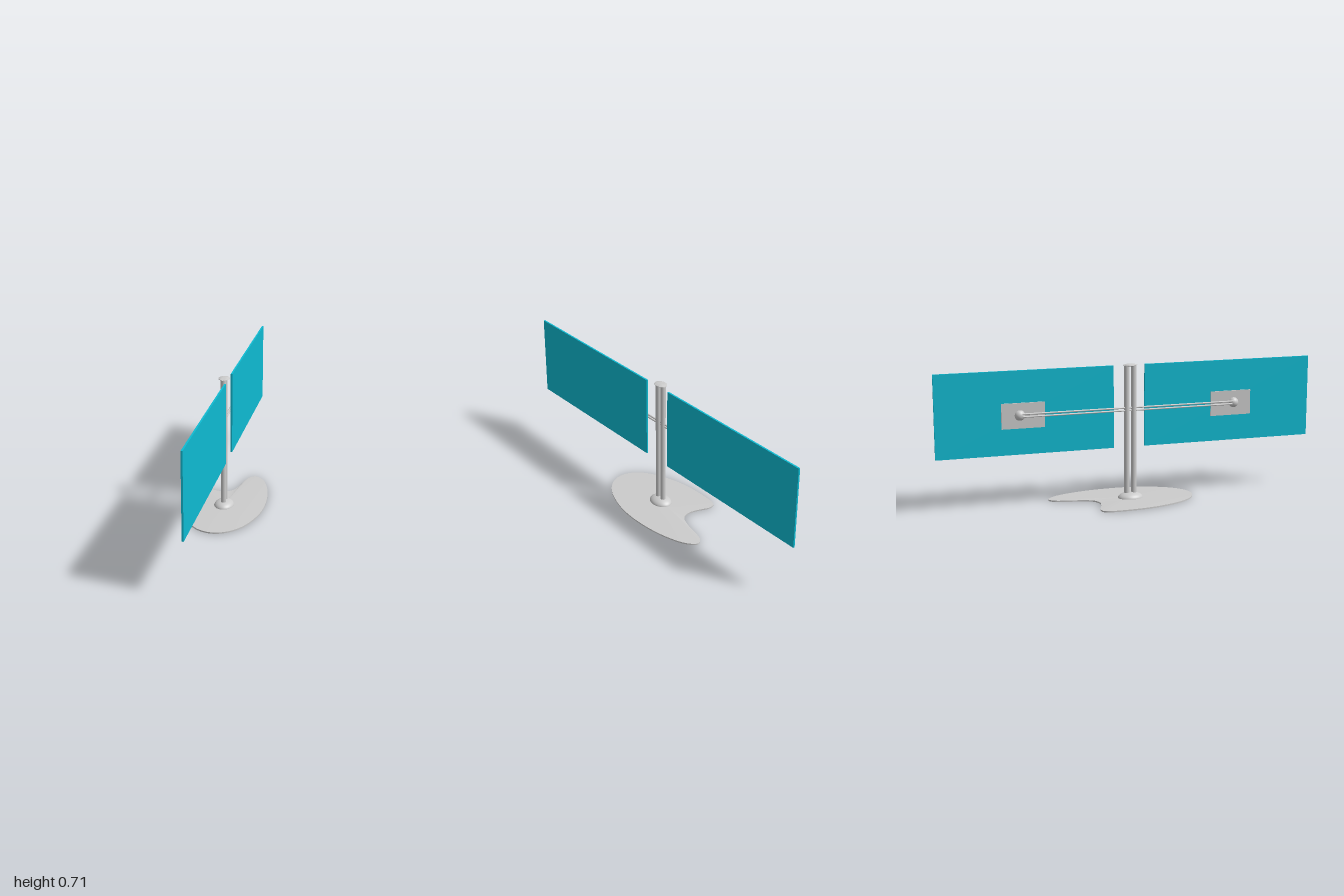
import * as THREE from 'three';
import { toCreasedNormals } from 'three/addons/utils/BufferGeometryUtils.js';

const grey = new THREE.MeshStandardMaterial({ color: 0xcccccc });
const teal = new THREE.MeshStandardMaterial({ color: 0x0ebbd2 });

// Thin, slightly domed foot: one closed outline repeated in scaled rings
function footGeometry() {
  const outline = [
    [-0.199, -0.195], [-0.165, -0.207], [-0.1, -0.186], [-0.045, -0.176], [0, -0.194],
    [0.028, -0.255], [0.046, -0.345], [0.066, -0.398], [0.095, -0.415], [0.14, -0.375],
    [0.187, -0.25], [0.209, -0.07], [0.197, 0.085], [0.14, 0.243], [0.07, 0.317],
    [0, 0.337], [-0.07, 0.313], [-0.135, 0.24], [-0.19, 0.1], [-0.211, -0.06],
  ].map(([x, z]) => new THREE.Vector3(x, 0, z));
  const n = 120;
  const loop = new THREE.CatmullRomCurve3(outline, true).getPoints(n).slice(0, n);
  const rings = [[0, 0], [1, 0], [1, 0.007], [0.6, 0.01], [0, 0.0105]]; // scale, height
  const positions = [], index = [];
  rings.forEach(([s, y]) => loop.forEach((p) => positions.push(p.x * s, y, p.z * s)));
  for (let k = 0; k < rings.length - 1; k++) {
    for (let i = 0; i < n; i++) {
      const j = (i + 1) % n, a = k * n + i, b = k * n + j;
      index.push(a, a + n, b + n, a, b + n, b);
    }
  }
  const geometry = new THREE.BufferGeometry();
  geometry.setAttribute('position', new THREE.Float32BufferAttribute(positions, 3));
  geometry.setIndex(index);
  return toCreasedNormals(geometry, 0.6);
}

export function createModel() {
  const model = new THREE.Group();
  model.name = 'twinPanelStand';

  const add = (name, geometry, material, x = 0, y = 0, z = 0) => {
    const mesh = new THREE.Mesh(geometry, material);
    mesh.name = name;
    mesh.position.set(x, y, z);
    model.add(mesh);
    return mesh;
  };

  add('foot', footGeometry(), grey);

  // Oval dome where the posts meet the foot
  const dome = add('footDome', new THREE.SphereGeometry(1, 40, 14, 0, Math.PI * 2, 0, Math.PI / 2), grey, 0, 0.008, 0);
  dome.scale.set(0.052, 0.031, 0.066);

  // Oval cap over both posts
  const capProfile = [[0, 0.7], [0.017, 0.7], [0.029, 0.7045], [0.0285, 0.7065], [0.022, 0.709], [0.012, 0.711], [0, 0.712]]
    .map(([r, y]) => new THREE.Vector2(r, y));
  const cap = add('postCap', toCreasedNormals(new THREE.LatheGeometry(capProfile, 40), 0.5), grey);
  cap.scale.z = 1.28;

  // Twin upright posts
  for (const side of [-1, 1]) {
    add('post', new THREE.CylinderGeometry(0.0138, 0.0138, 0.694, 28), grey, 0, 0.355, side * 0.0185);
  }

  // Twin horizontal rods
  for (const y of [0.471, 0.485]) {
    const rod = add('crossRod', new THREE.CylinderGeometry(0.0045, 0.0045, 1.15, 16), grey, -0.004, y, 0);
    rod.rotation.x = Math.PI / 2;
  }

  // Panels with their mounting plates and half-round knobs
  for (const side of [-1, 1]) {
    add('panel', new THREE.BoxGeometry(0.009, 0.428, 0.917), teal, 0.021, 0.489, side * 0.5415);
    add('mountPlate', new THREE.BoxGeometry(0.007, 0.13, 0.222), grey, 0.0135, 0.475, side * 0.556);
    const knob = add('mountKnob', new THREE.SphereGeometry(0.0275, 32, 12, 0, Math.PI * 2, 0, Math.PI / 2),
      grey, 0.0165, 0.477, side * 0.573);
    knob.rotation.z = Math.PI / 2;
  }

  return model;
}
